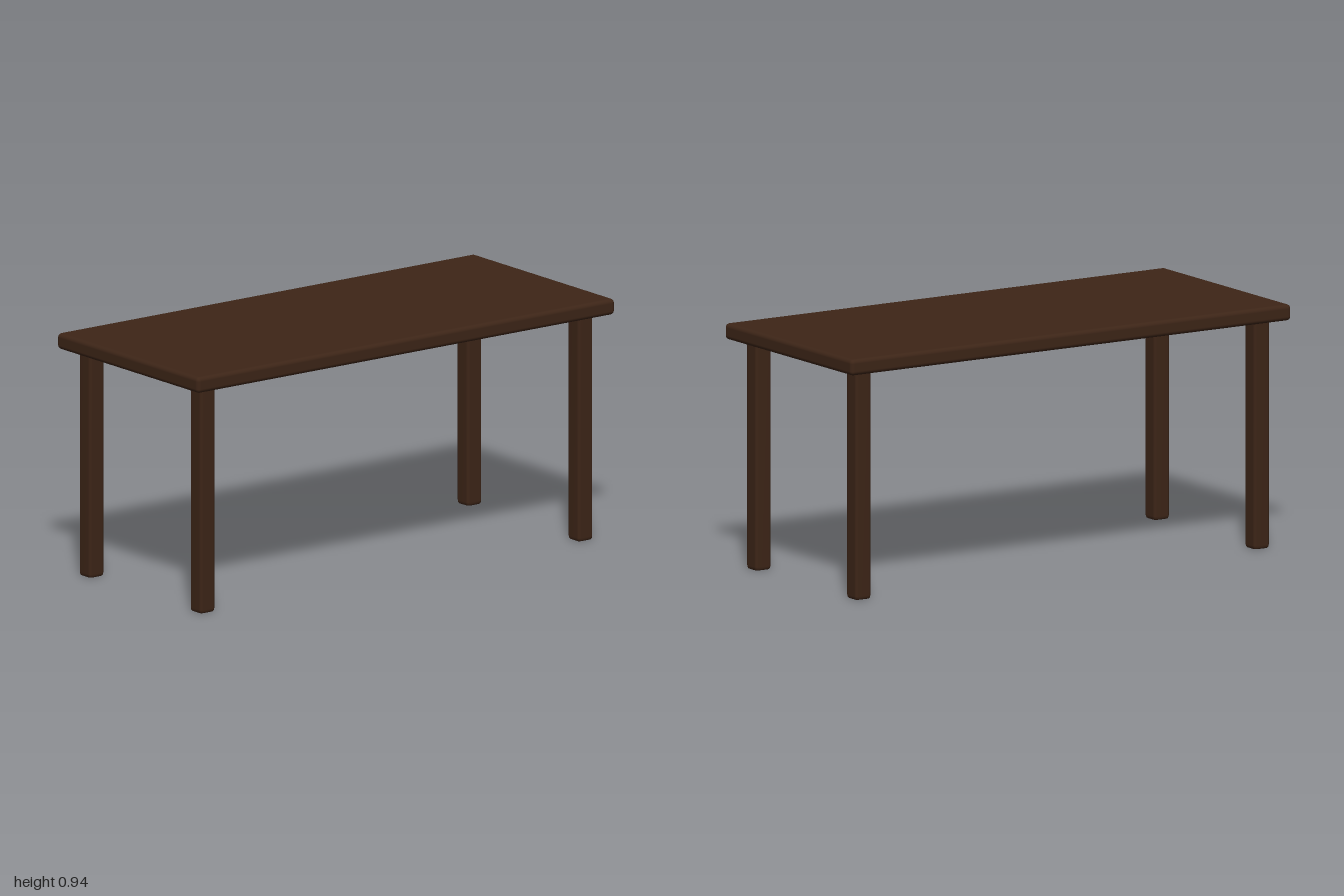
import * as THREE from 'three';
import { RoundedBoxGeometry } from 'three/addons/geometries/RoundedBoxGeometry.js';

const wood = new THREE.MeshStandardMaterial({ color: 0x3d2517 });

// Outline of a square with rounded corners, as [x, z] points
function roundedSquare(half, radius, steps) {
  const points = [];
  for (let corner = 0; corner < 4; corner++) {
    const mid = Math.PI / 4 + corner * Math.PI / 2;
    const cx = Math.sign(Math.cos(mid)) * (half - radius);
    const cz = Math.sign(Math.sin(mid)) * (half - radius);
    for (let i = 0; i <= steps; i++) {
      const a = (corner + i / steps) * Math.PI / 2;
      points.push([cx + radius * Math.cos(a), cz + radius * Math.sin(a)]);
    }
  }
  return points;
}

// Leg lofted through rounded squares: [half width, height]
function legGeometry() {
  const sections = [
    [0.0005, 0], [0.029, 0], [0.031, 0.001], [0.034, 0.006], [0.035, 0.014],
    [0.035, 0.868], [0.0355, 0.876], [0.038, 0.881], [0.044, 0.885], [0.044, 0.89],
  ];
  const positions = [];
  const indices = [];
  const steps = 4;
  const count = 4 * (steps + 1);
  sections.forEach(([half, y], s) => {
    for (const [x, z] of roundedSquare(half, half * 0.32, steps)) positions.push(x, y, z);
    if (s === 0) return;
    for (let i = 0; i < count; i++) {
      const a = (s - 1) * count + i;
      const b = (s - 1) * count + (i + 1) % count;
      indices.push(a, a + count, b, b, a + count, b + count);
    }
  });
  const geometry = new THREE.BufferGeometry();
  geometry.setAttribute('position', new THREE.Float32BufferAttribute(positions, 3));
  geometry.setIndex(indices);
  geometry.computeVertexNormals();
  return geometry;
}

export function createModel() {
  const table = new THREE.Group();
  table.name = 'table';

  // Slab with softened edges
  const top = new THREE.Mesh(new RoundedBoxGeometry(2, 0.062, 0.88, 4, 0.016), wood);
  top.name = 'tableTop';
  top.position.y = 0.914;
  table.add(top);

  // Four legs, flaring slightly where they meet the slab
  const geometry = legGeometry();
  for (const [side, x] of [['Left', 0.905], ['Right', -0.905]]) {
    for (const [end, z] of [['front', 0.345], ['back', -0.345]]) {
      const leg = new THREE.Mesh(geometry, wood);
      leg.name = `${end}${side}Leg`;
      leg.position.set(x, 0, z);
      table.add(leg);
    }
  }
  return table;
}
